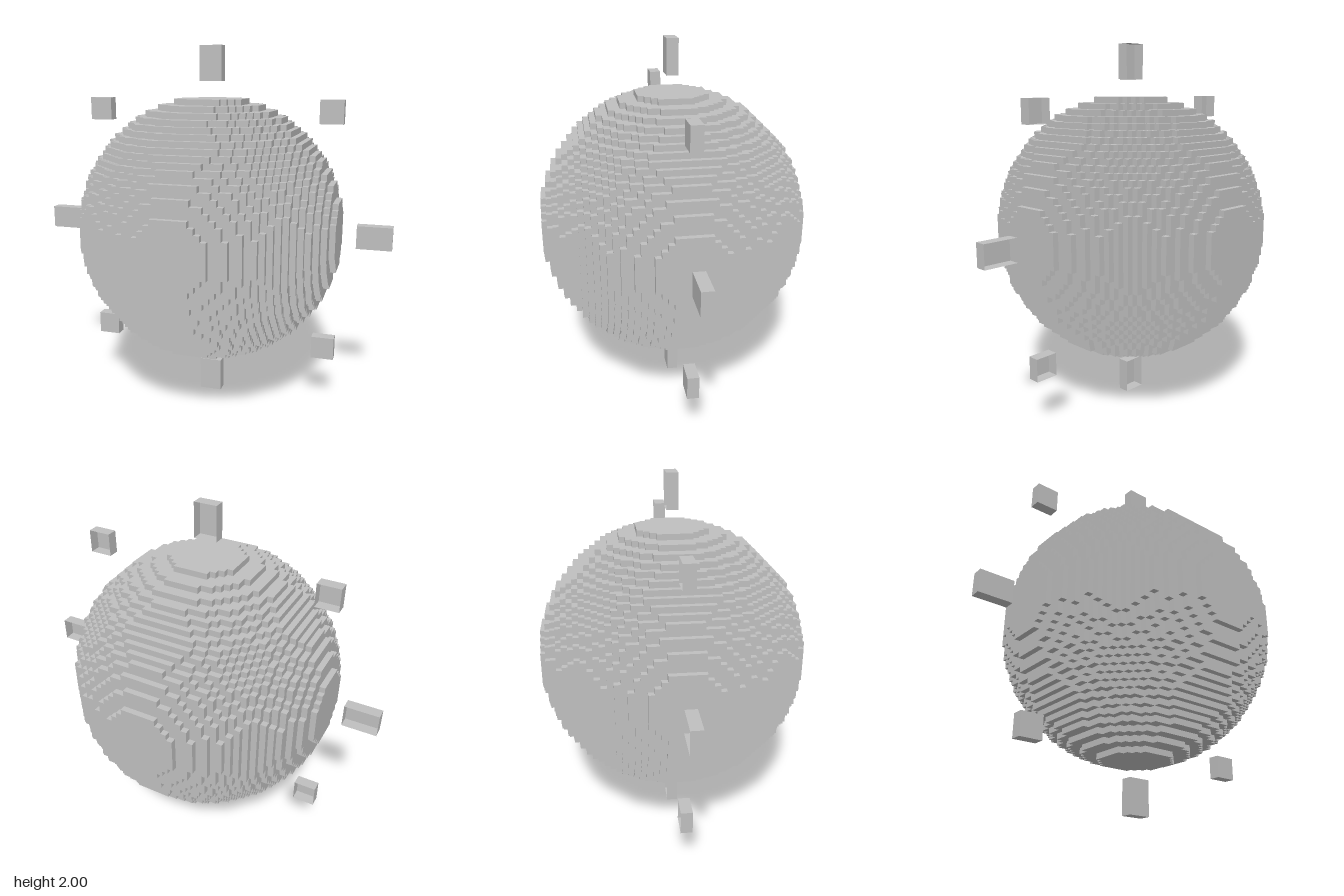
import * as THREE from 'three';

const CELL = 1 / 32;      // edge of one block
const RADIUS_SQ = 544;    // squared ball radius, in blocks

const grey = new THREE.MeshStandardMaterial({ color: 0xbfbfbf });
grey.name = 'stone grey';
grey.side = THREE.DoubleSide;

// Blocky ball: every column of blocks along an axis ends in one square on each side
function blockBallGeometry() {
  const positions = [];
  const half = Math.ceil(Math.sqrt(RADIUS_SQ));
  for (let a = 0; a < 3; a++) {
    const u = (a + 1) % 3, v = (a + 2) % 3;
    for (let i = -half; i < half; i++) {
      for (let j = -half; j < half; j++) {
        const rest = RADIUS_SQ - (i + 0.5) ** 2 - (j + 0.5) ** 2;
        if (rest < 0) continue;
        const height = Math.floor(Math.sqrt(rest) + 0.5);
        if (height < 1) continue;
        for (const side of [1, -1]) {
          const corner = (du, dv) => {
            const p = [0, 0, 0];
            p[a] = side * height * CELL;
            p[u] = (i + du) * CELL;
            p[v] = (j + dv) * CELL;
            return p;
          };
          const c = [corner(0, 0), corner(1, 0), corner(1, 1), corner(0, 1)];
          if (side < 0) c.reverse();
          for (const k of [0, 1, 2, 0, 2, 3]) positions.push(...c[k]);
        }
      }
    }
  }
  const geometry = new THREE.BufferGeometry();
  geometry.setAttribute('position', new THREE.Float32BufferAttribute(positions, 3));
  geometry.computeVertexNormals();
  return geometry;
}

// Thin-walled box, two blocks deep, open at the back
function openBoxGeometry(width, height) {
  const geometry = new THREE.BoxGeometry(width * CELL, height * CELL, 2 * CELL);
  geometry.setIndex(Array.from(geometry.index.array).slice(0, 30));
  geometry.clearGroups();
  return geometry;
}

export function createModel() {
  const model = new THREE.Group();
  model.name = 'blockBallWithMarkers';

  const add = (name, geometry, x, y) => {
    const mesh = new THREE.Mesh(geometry, grey);
    mesh.name = name;
    mesh.position.set(x * CELL, 1 + y * CELL, 0);
    model.add(mesh);
  };

  add('ball', blockBallGeometry(), 0, 0);

  // Ring of floating markers: four bars on the axes, four squares on the diagonals
  const upright = openBoxGeometry(4, 6);
  const level = openBoxGeometry(6, 4);
  const square = openBoxGeometry(4, 4);
  for (const s of [1, -1]) {
    add(s > 0 ? 'topBar' : 'bottomBar', upright, 0, s * 29);
    add(s > 0 ? 'leftBar' : 'rightBar', level, s * 29, 0);
    for (const t of [1, -1]) {
      add((t > 0 ? 'upper' : 'lower') + (s > 0 ? 'Left' : 'Right') + 'Square', square, s * 21, t * 21);
    }
  }
  return model;
}
